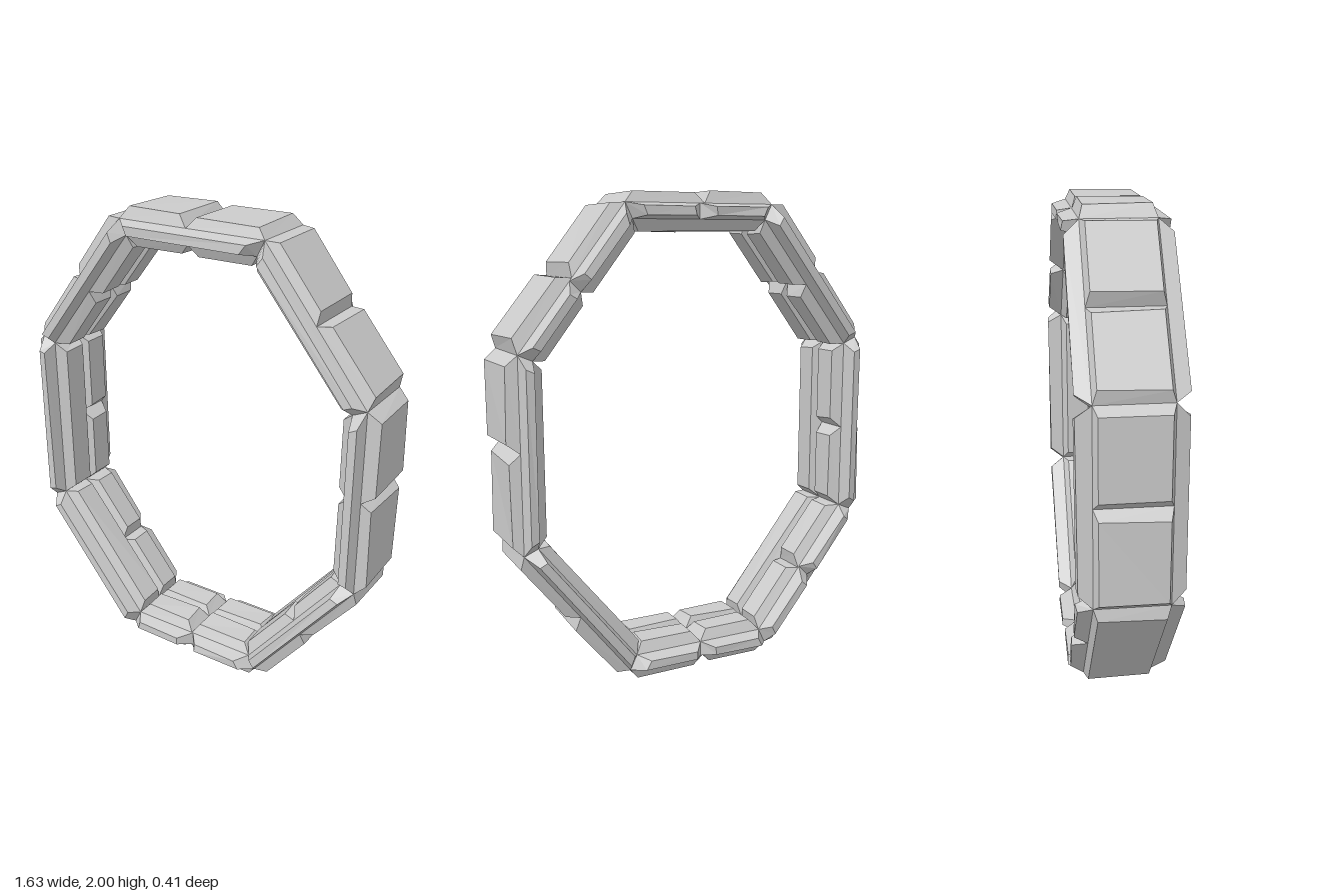
import * as THREE from 'three';

// Octagonal ring core: matching inner and outer corners, clockwise from top left
const half = { inner: [[0.295, 1.888], [0.707, 1.365]], outer: [[0.325, 1.95], [0.765, 1.39]] };
const loop = ([a, b]) => [[-a[0], a[1]], a, b, [b[0], 2 - b[1]], [a[0], 2 - a[1]],
  [-a[0], 2 - a[1]], [-b[0], 2 - b[1]], [-b[0], b[1]]].map(([x, y]) => new THREE.Vector2(x, y));
const inner = loop(half.inner), outer = loop(half.outer);
const DEPTH = 0.145;

const material = new THREE.MeshStandardMaterial({ color: 0xcccccc, flatShading: true });

// Small seeded variation for the uneven stone blocks
let seed = 7;
const vary = (amount) => {
  seed = (seed * 16807) % 2147483647;
  return (seed / 2147483647 - 0.5) * 2 * amount;
};

// Point on the core: segment i, t along it, r from inner (0) to outer (1)
function corePoint(i, t, r, z) {
  const at = (ring) => ring[i].clone().lerp(ring[(i + 1) % 8], t);
  const p = at(inner).lerp(at(outer), r);
  return new THREE.Vector3(p.x, p.y, z);
}

function quads(list) {
  const pos = [];
  for (const [a, b, c, d] of list) for (const p of [a, b, c, a, c, d]) pos.push(p.x, p.y, p.z);
  const g = new THREE.BufferGeometry();
  g.setAttribute('position', new THREE.Float32BufferAttribute(pos, 3));
  g.computeVertexNormals();
  return g;
}

// Bevelled block on a face; corners run along the length first (a-b, d-c)
function block(corners, out, height, endInset, sideInset) {
  const [a, b, c, d] = corners;
  const n = b.clone().sub(a).cross(d.clone().sub(a)).normalize();
  const flip = n.dot(out) < 0;
  if (flip) n.negate();
  const shift = (p, along, across, e, s) => p.clone()
    .addScaledVector(along.clone().sub(p).normalize(), e + vary(0.006))
    .addScaledVector(across.clone().sub(p).normalize(), s)
    .addScaledVector(n, height + vary(0.004));
  const top = [shift(a, b, d, endInset, sideInset), shift(b, a, c, endInset, sideInset),
    shift(c, d, b, endInset, sideInset), shift(d, c, a, endInset, sideInset)];
  const faces = [top];
  for (let k = 0; k < 4; k++) {
    const m = (k + 1) % 4;
    faces.push([corners[k], corners[m], top[m], top[k]]);
  }
  return quads(flip ? faces.map((f) => f.slice().reverse()) : faces);
}

// Blocks per segment, starting at the top and going clockwise
const counts = {
  outer: [2, 2, 2, 2, 2, 1, 2, 2],
  front: [1, 1, 1, 1, 2, 1, 1, 1],
  back: [2, 2, 1, 1, 2, 2, 1, 1],
  innerFront: [2, 1, 2, 2, 2, 1, 1, 2],
  innerBack: [1, 2, 1, 1, 2, 2, 2, 2],
};
// Each row: radial range, depth range, height, end inset, side inset
const rows = {
  outer: { r: [1, 1], z: [-DEPTH, DEPTH], h: 0.04, e: 0.036, s: 0.016 },
  front: { r: [0, 1], z: [DEPTH, DEPTH], h: 0.056, e: 0.045, s: 0.014 },
  back: { r: [0, 1], z: [-DEPTH, -DEPTH], h: 0.058, e: 0.045, s: 0.014 },
  innerFront: { r: [0, 0], z: [0, DEPTH], h: 0.046, e: 0.036, s: 0.022 },
  innerBack: { r: [0, 0], z: [-DEPTH, 0], h: 0.044, e: 0.036, s: 0.022 },
};

export function createModel() {
  const ring = new THREE.Group();
  ring.name = 'stoneRing';
  const add = (parent, geometry, name) => {
    const mesh = new THREE.Mesh(geometry, material);
    mesh.name = name;
    parent.add(mesh);
  };

  for (let i = 0; i < 8; i++) {
    const segment = new THREE.Group();
    segment.name = `ringSegment${i + 1}`;
    ring.add(segment);

    // Plain core bar under the blocks
    const section = [[0, DEPTH], [1, DEPTH], [1, -DEPTH], [0, -DEPTH]];
    add(segment, quads(section.map(([r, z], k) => {
      const [r2, z2] = section[(k + 1) % 4];
      return [corePoint(i, 0, r, z), corePoint(i, 0, r2, z2),
        corePoint(i, 1, r2, z2), corePoint(i, 1, r, z)].reverse();
    })), 'core');

    // Raised blocks on the outside, both sides and the two inner rows
    const radial = corePoint(i, 0.5, 1, 0).sub(corePoint(i, 0.5, 0, 0));
    for (const [name, { r, z, h, e, s }] of Object.entries(rows)) {
      const n = counts[name][i];
      const out = name === 'outer' ? radial
        : name.startsWith('inner') ? radial.clone().negate()
          : new THREE.Vector3(0, 0, z[0]);
      const mid = 0.5 + vary(0.025);
      for (let k = 0; k < n; k++) {
        const t0 = k === 0 ? 0 : mid, t1 = k === n - 1 ? 1 : mid;
        const corners = [corePoint(i, t0, r[0], z[0]), corePoint(i, t1, r[0], z[0]),
          corePoint(i, t1, r[1], z[1]), corePoint(i, t0, r[1], z[1])];
        const lift = name === 'outer' && (i + k) % 2 === 0 ? 0.008 : 0;
        add(segment, block(corners, out, h + lift, e, s), `${name}Block`);
      }
    }
  }
  return ring;
}
